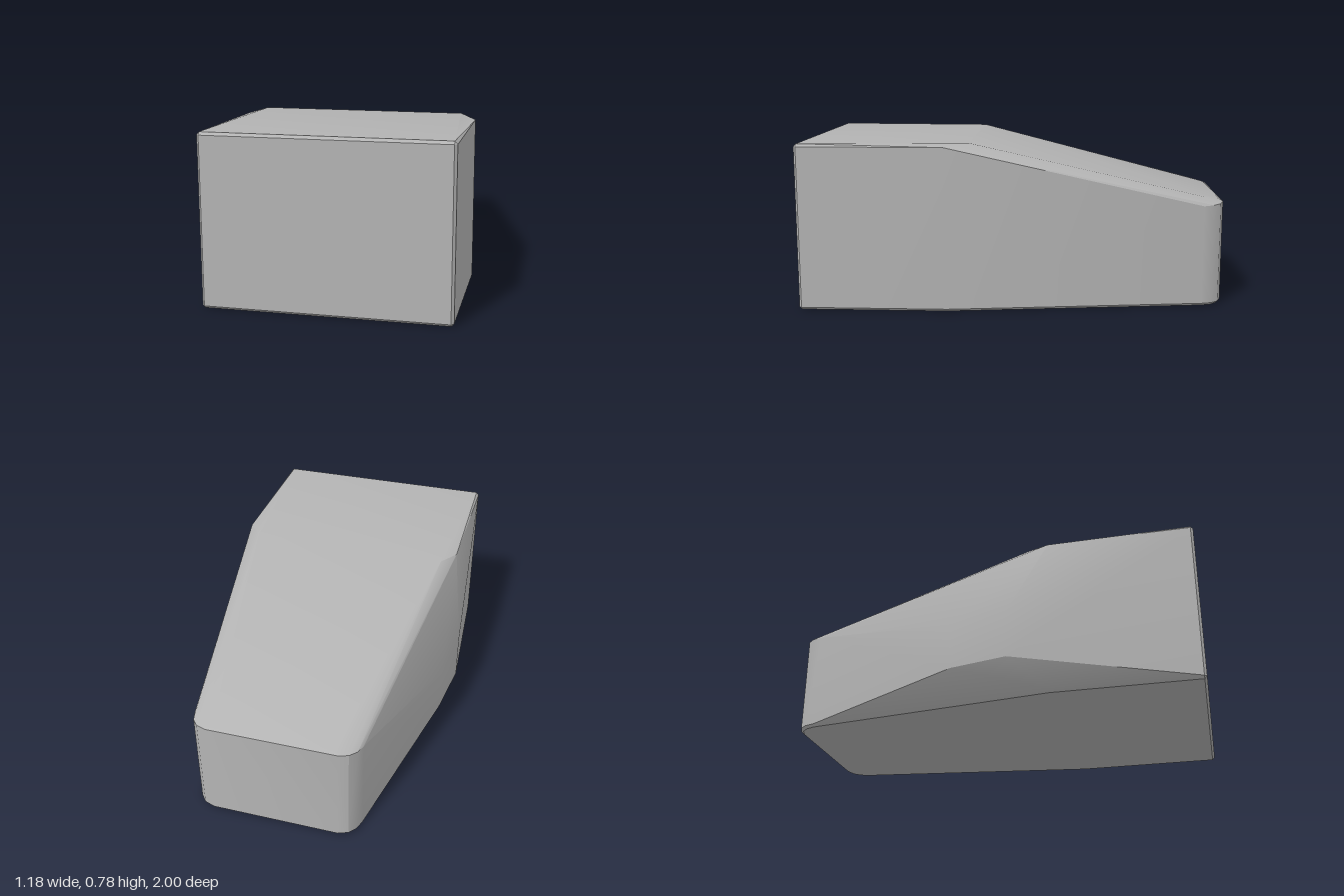
import * as THREE from 'three';
import { ConvexGeometry } from 'three/addons/geometries/ConvexGeometry.js';
import { toCreasedNormals } from 'three/addons/utils/BufferGeometryUtils.js';

const BEVEL = 0.012;

export function createModel() {
  const group = new THREE.Group();
  group.name = 'wedgeBlock';
  const grey = new THREE.MeshStandardMaterial({ color: 0xb3b3b3 });
  grey.name = 'plain grey';

  const points = [];
  const add = (x, y, z) => points.push(new THREE.Vector3(x, y, z));

  // Each side: sign, front half width, then the rounded rear corner
  const sides = [
    { s: 1, w: 0.59, topW: 0.51, rear: [[0.43, -0.9], [0.415, -0.947], [0.385, -0.982], [0.335, -1]], rearTop: 0.37 },
    { s: -1, w: 0.52, topW: 0.46, rear: [[0.36, -0.9], [0.345, -0.947], [0.315, -0.982], [0.27, -1]], rearTop: 0.3 },
  ];

  for (const { s, w, topW, rear, rearTop } of sides) {
    // Front corner, bevelled on every edge
    for (const [y, inner] of [[BEVEL, 0], [0.77, 0.783]]) {
      add(s * w, y, 1 - BEVEL);
      add(s * (w - BEVEL), y, 1);
      add(s * (w - BEVEL), inner, 1 - BEVEL);
    }
    // Widest point of the wall, where the roof starts to fall
    add(s * w, 0.77, 0.31);
    add(s * w, BEVEL, 0.3);
    add(s * (w - BEVEL), 0, 0.3);
    add(s * topW, 0.783, 0.2);
    // Rounded rear corner, bottom bevel and roof rim
    rear.forEach(([x, z], i) => {
      add(s * x, 0.482 + i * 0.003, z);
      add(s * x, BEVEL, z);
      add(s * (x - BEVEL), 0, z + BEVEL * i / 3);
    });
    // Sloping roof behind the rim
    add(s * rearTop, 0.519, -0.9);
    add(s * (rear[3][0] - 0.02), 0.501, -0.985);
  }

  // Ridge that swells out of the right wall
  add(-0.595, 0.39, 0.12);
  add(-0.595, 0.16, 0.12);
  add(-0.56, 0.37, -0.15);
  add(-0.56, 0.145, -0.15);

  const body = new THREE.Mesh(toCreasedNormals(new ConvexGeometry(points), 0.4), grey);
  body.name = 'body';
  group.add(body);
  return group;
}
